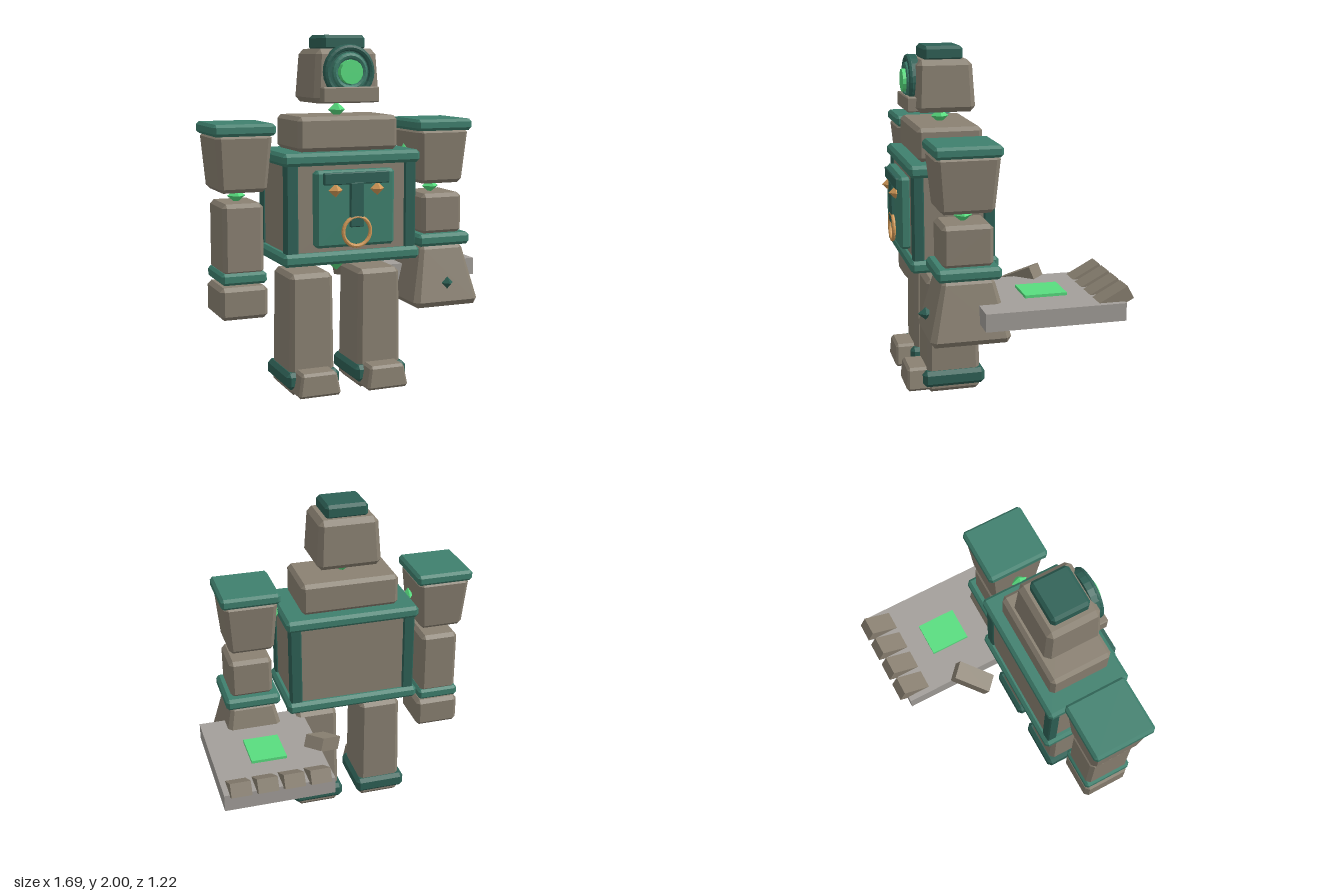
import * as THREE from 'three';
import { ConvexGeometry } from 'three/addons/geometries/ConvexGeometry.js';

const CX = -0.08, CZ = 0.28; // body axis
const mat = (color) => new THREE.MeshStandardMaterial({ color, flatShading: true });
const STONE = mat(0x8a8172), GREEN = mat(0x3f806e), DARK = mat(0x2e6156);
const GLOW = mat(0x58dd7f), GOLD = mat(0xd39a58), SLAB = mat(0xa39f9a);

// Chamfered box; taper scales the top (x and z) relative to the bottom
function chamferBox(w, h, d, c, taperX = 1, taperZ = taperX) {
  const pts = [], x = w / 2, y = h / 2, z = d / 2;
  for (const sx of [-1, 1]) for (const sy of [-1, 1]) for (const sz of [-1, 1]) {
    for (const [a, b, e] of [[0, c, c], [c, 0, c], [c, c, 0]]) {
      const py = sy * (y - b), t = (py + y) / h;
      pts.push(new THREE.Vector3(
        sx * (x - a) * (1 + (taperX - 1) * t), py,
        sz * (z - e) * (1 + (taperZ - 1) * t)));
    }
  }
  return new ConvexGeometry(pts);
}

export function createModel() {
  const root = new THREE.Group();
  root.name = 'robot';

  function add(name, geometry, material, x, y, z, parent = root) {
    const m = new THREE.Mesh(geometry, material);
    m.name = name;
    m.position.set(x, y, z);
    parent.add(m);
    return m;
  }
  // Block given by centre x, y range, centre z and bottom size
  function block(name, material, x, y0, y1, z, w, d, c = 0.02, tx = 1, tz = tx) {
    return add(name, chamferBox(w, y1 - y0, d, c, tx, tz), material, x, (y0 + y1) / 2, z);
  }
  function gem(name, material, x, y, z, rx, ry, rz) {
    return add(name, new THREE.OctahedronGeometry(1, 0), material, x, y, z).scale.set(rx, ry, rz);
  }
  // Disc facing the front
  function disc(name, material, r, z0, z1, sides = 24) {
    const g = new THREE.CylinderGeometry(r, r, z1 - z0, sides).rotateX(Math.PI / 2);
    return add(name, g, material, CX, 1.8, (z0 + z1) / 2);
  }

  // Torso: core, corner pillars, top and bottom plates
  block('torsoCore', STONE, CX, 0.78, 1.34, CZ, 0.74, 0.45, 0.02);
  for (const sx of [-1, 1]) for (const sz of [-1, 1])
    block('cornerPillar', DARK, CX + sx * 0.35, 0.79, 1.33, CZ + sz * 0.204, 0.07, 0.064, 0.008);
  block('torsoTopPlate', GREEN, CX, 1.3, 1.37, CZ, 0.81, 0.51, 0.018);
  block('torsoBottomPlate', GREEN, CX, 0.755, 0.825, CZ, 0.81, 0.51, 0.018);

  // Chest panel with T-shaped strap, studs and ring
  block('chestPanel', GREEN, CX, 0.855, 1.275, 0.53, 0.465, 0.07, 0.016);
  block('chestBar', DARK, CX, 1.2, 1.265, 0.567, 0.385, 0.03, 0.005);
  block('chestStrap', DARK, CX, 0.965, 1.21, 0.57, 0.08, 0.03, 0.005);
  for (const s of [-1, 1]) gem('chestStud', GOLD, CX + s * 0.123, 1.17, 0.57, 0.042, 0.038, 0.04);
  add('chestRing', new THREE.TorusGeometry(0.08, 0.011, 8, 28), GOLD, CX, 0.94, 0.576);

  // Shoulder yoke, neck and pelvis gems
  block('shoulderYoke', STONE, CX, 1.37, 1.56, CZ, 0.59, 0.375, 0.022);
  gem('neckGem', GLOW, CX, 1.588, CZ, 0.052, 0.045, 0.052);
  gem('pelvisGem', GLOW, CX, 0.715, CZ, 0.052, 0.045, 0.052);

  // Head with cap, jaw and single eye
  block('head', STONE, CX, 1.63, 1.925, CZ, 0.39, 0.35, 0.03, 0.9);
  block('headCap', DARK, CX, 1.915, 2.0, CZ, 0.255, 0.23, 0.018);
  block('jaw', STONE, CX, 1.635, 1.72, 0.455, 0.33, 0.09, 0.006);
  disc('eyePlate', DARK, 0.148, 0.42, 0.462);
  add('eyeOuterRing', new THREE.TorusGeometry(0.132, 0.018, 8, 28), DARK, CX, 1.8, 0.462);
  add('eyeInnerRing', new THREE.TorusGeometry(0.088, 0.018, 8, 24), GREEN, CX, 1.8, 0.47);
  disc('eyeLens', GLOW, 0.066, 0.45, 0.503, 14);

  for (const s of [-1, 1]) {
    // Upper arms
    const ax = CX + s * 0.593;
    block('shoulderPlate', GREEN, ax, 1.465, 1.53, CZ, 0.347, 0.375, 0.016);
    block('upperArm', STONE, ax, 1.16, 1.475, CZ, 0.265, 0.3, 0.022, 1.2);
    gem('shoulderGem', GLOW, CX + s * 0.42, 1.335, CZ, 0.035, 0.05, 0.05);
    gem('elbowGem', GLOW, ax, 1.13, CZ, 0.052, 0.042, 0.052);

    // Legs
    const lx = CX + s * 0.205;
    block('leg', STONE, lx, 0.005, 0.69, CZ, 0.27, 0.315, 0.025, 0.93, 0.96);
    block('ankleCuff', DARK, lx + s * 0.002, 0.045, 0.14, CZ, 0.315, 0.365, 0.022);
    block('toe', STONE, lx, 0.02, 0.155, 0.475, 0.255, 0.165, 0.015, 0.8, 0.88);
  }

  // Right forearm and fist
  const rx = CX - 0.593;
  block('rightForearm', STONE, rx, 0.71, 1.1, CZ, 0.23, 0.28, 0.022);
  block('rightCuff', GREEN, rx, 0.66, 0.725, CZ, 0.255, 0.3, 0.015);
  block('rightFist', STONE, rx, 0.465, 0.645, CZ, 0.27, 0.29, 0.022);

  // Left forearm with flared gauntlet
  const gx = 0.523;
  block('leftForearm', STONE, gx, 0.865, 1.1, CZ, 0.255, 0.285, 0.022);
  block('leftCuff', GREEN, gx, 0.8, 0.87, CZ, 0.33, 0.36, 0.018);
  block('gauntlet', STONE, gx, 0.45, 0.81, CZ, 0.425, 0.465, 0.032, 0.6);
  gem('gauntletStud', DARK, gx, 0.59, 0.495, 0.036, 0.036, 0.042);

  // Open palm slab with glowing pad
  add('palmSlab', new THREE.BoxGeometry(0.635, 0.1, 0.785), SLAB, 0.523, 0.615, -0.161);
  add('palmPad', new THREE.BoxGeometry(0.208, 0.025, 0.24), GLOW, 0.523, 0.669, -0.163);

  // Raised fingers and thumb
  for (let i = 0; i < 4; i++) {
    const f = add('finger', new THREE.BoxGeometry(0.117, 0.08, 0.26), STONE, 0.297 + i * 0.151, 0.654, -0.473);
    f.rotation.x = 0.49;
  }
  const thumb = add('thumb', new THREE.BoxGeometry(0.115, 0.08, 0.24), STONE, 0.168, 0.645, -0.14);
  thumb.rotation.set(0.45, -0.75, 0, 'YXZ');

  return root;
}
